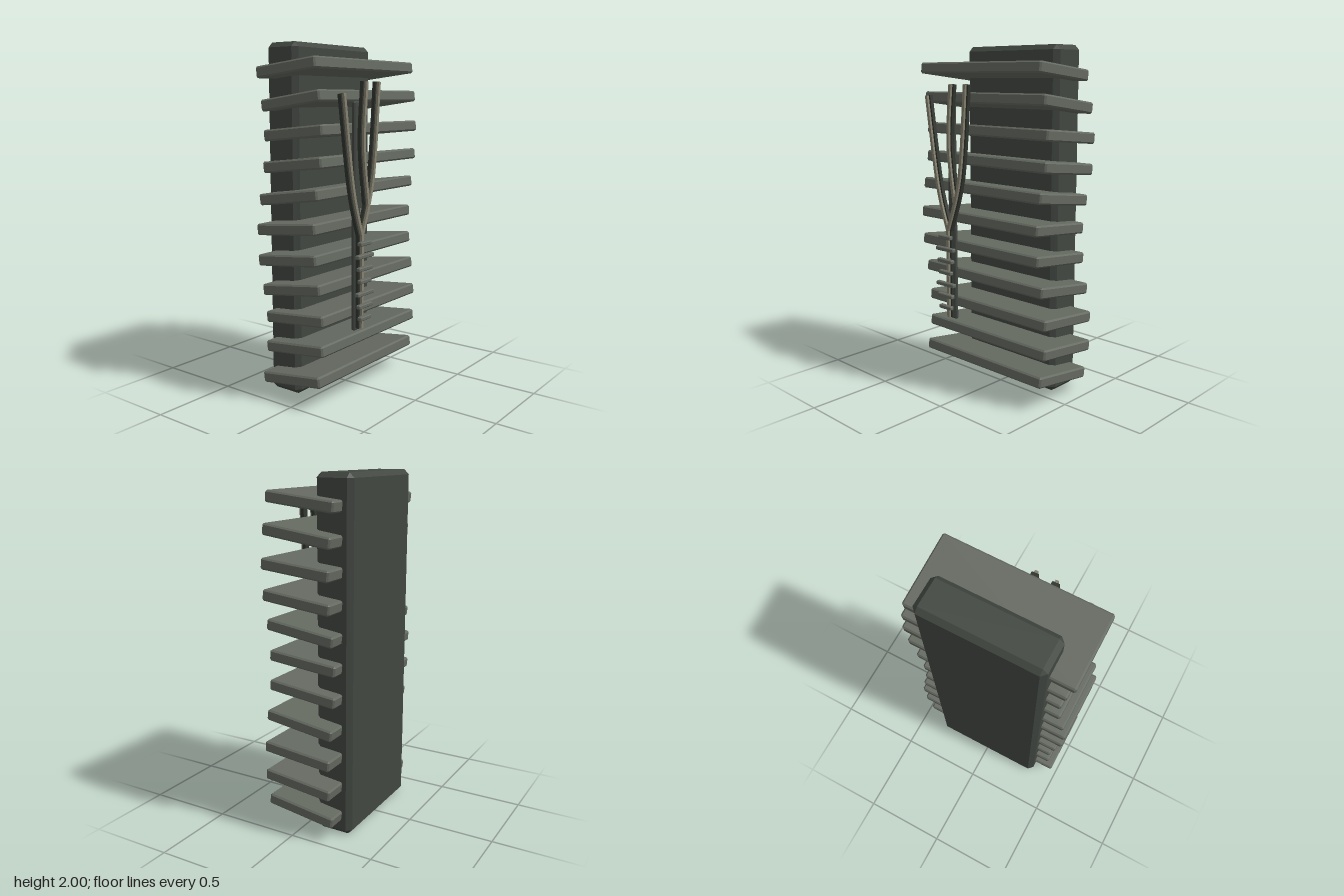
import * as THREE from 'three';
import { ConvexGeometry } from 'three/addons/geometries/ConvexGeometry.js';

const material = (name, color) => Object.assign(new THREE.MeshStandardMaterial({ color }), { name });

// Box with every edge cut at 45 degrees
function chamferedBox(w, h, d, c) {
  const half = [w / 2, h / 2, d / 2], points = [];
  for (const sx of [-1, 1]) for (const sy of [-1, 1]) for (const sz of [-1, 1])
    for (let axis = 0; axis < 3; axis++) {
      const p = [sx, sy, sz].map((s, i) => s * (half[i] - (i === axis ? 0 : c)));
      points.push(new THREE.Vector3(...p));
    }
  return new ConvexGeometry(points);
}

// Flat strip of constant width following a smooth path in the xy plane
function ribbon(path, width, depth) {
  const curve = new THREE.SplineCurve(path.map(([x, y]) => new THREE.Vector2(x, y)));
  const steps = path.length > 2 ? 12 : 1, left = [], right = [];
  for (let i = 0; i <= steps; i++) {
    const p = curve.getPoint(i / steps), t = curve.getTangent(i / steps);
    const n = new THREE.Vector2(-t.y, t.x).multiplyScalar(width / 2);
    left.push(p.clone().add(n));
    right.unshift(p.clone().sub(n));
  }
  return new THREE.ExtrudeGeometry(new THREE.Shape([...right, ...left]), { depth, bevelEnabled: false });
}

export function createModel() {
  const model = new THREE.Group();
  const darkStone = material('dark stone', 0x424741);
  const slatStone = material('grey green stone', 0x646960);
  const shadowMetal = material('dark metal', 0x31352f);
  const paleMetal = material('pale metal', 0x858170);

  const add = (name, geometry, mat, x, y, z) => {
    const mesh = new THREE.Mesh(geometry, mat);
    mesh.name = name;
    mesh.position.set(x, y, z);
    model.add(mesh);
    return mesh;
  };

  // Upright slab at the back
  add('backSlab', chamferedBox(0.7, 2, 0.22, 0.028), darkStone, 0, 1, -0.18);

  // Stack of tilted slats, each shifted a little sideways
  const shifts = [-0.003, 0.027, 0.029, 0.003, -0.029, -0.035, -0.012, 0.021, 0.03, 0.012, -0.022];
  const tilts = [0.135, 0.11, 0.097];
  const slatGeometry = chamferedBox(0.93, 0.063, 0.415, 0.009);
  shifts.forEach((x, i) => {
    const slat = add('slat', slatGeometry, slatStone, x, 0.141 + i * 0.1714, -0.03);
    slat.rotation.x = -tilts[i % 3];
  });

  // Narrow backing bar behind the branching emblem
  add('backingBar', chamferedBox(0.056, 1.27, 0.024, 0.006), darkStone, -0.182, 1.045, 0.212);

  // Trunk and three branches: dark band with a pale raised centre
  const paths = {
    trunk: [[-0.182, 0.425], [-0.182, 0.97]],
    leftBranch: [[-0.182, 0.95], [-0.265, 1.22], [-0.345, 1.72]],
    rightBranch: [[-0.182, 0.95], [-0.08, 1.27], [-0.03, 1.785]],
    middleBranch: [[-0.125, 1.12], [-0.168, 1.45], [-0.145, 1.785]],
  };
  for (const [name, path] of Object.entries(paths)) {
    add(name, ribbon(path, 0.04, 0.021), shadowMetal, 0, 0, 0.226);
    add(name + 'Inlay', ribbon(path, 0.018, 0.015), paleMetal, 0, 0, 0.246);
  }

  // Short rungs across the trunk
  const widths = [0.1, 0.122, 0.145];
  for (let i = 0; i < 7; i++)
    add('rung', chamferedBox(widths[i % 3], 0.022, 0.028, 0.004), slatStone, -0.183, 0.491 + i * 0.0702, 0.273);

  return model;
}
